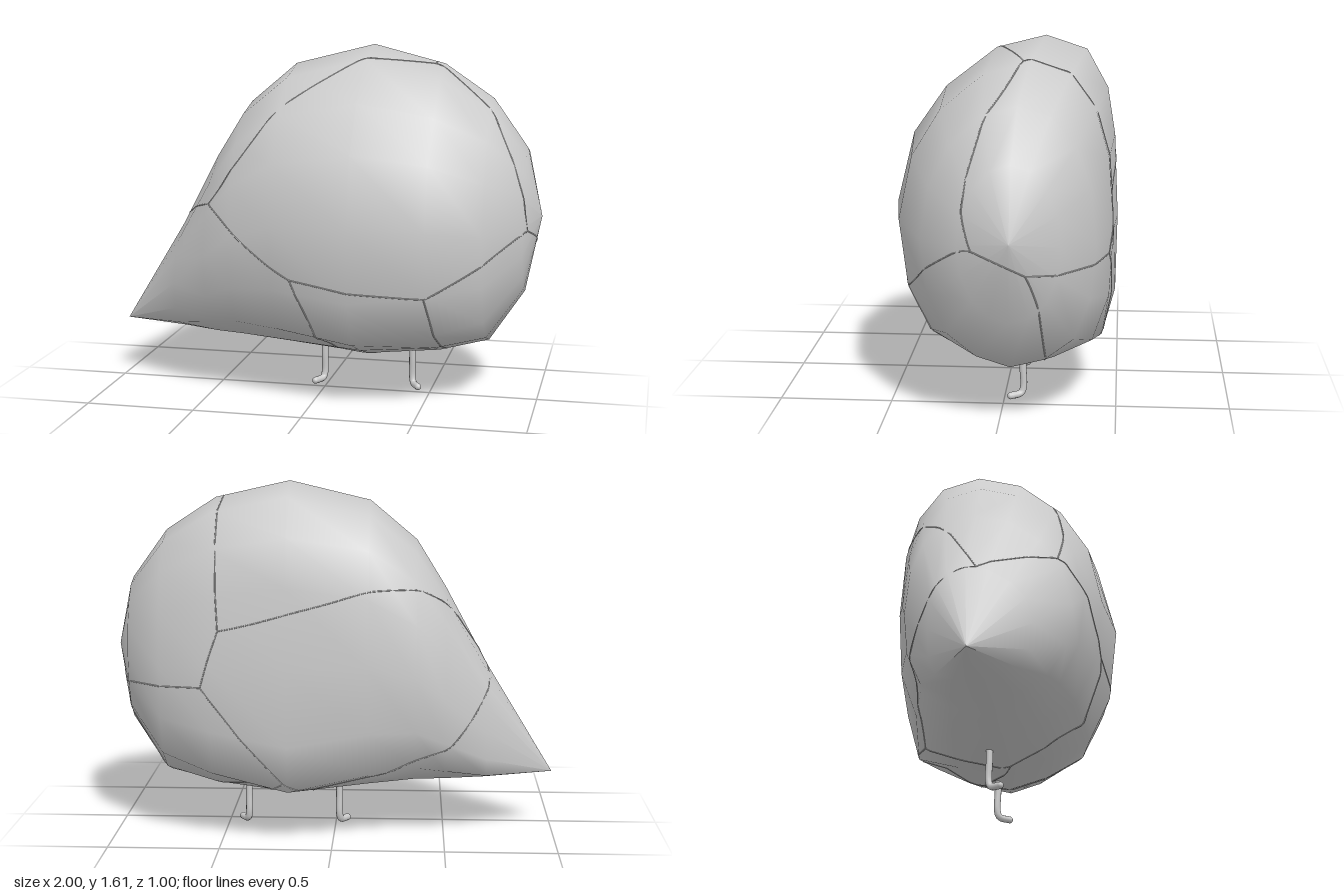
import * as THREE from 'three';

const grey = () => new THREE.MeshStandardMaterial({ color: 0xcccccc, side: THREE.DoubleSide });

// Body stations along x: [x, bottom y, top y, back z, front z, roundness of section]
const stations = [
  [-1, 0.265, 0.265, -0.08, -0.08, 0],
  [-0.69, 0.245, 0.78, -0.28, 0.165, 0.2],
  [-0.5, 0.23, 1.13, -0.41, 0.32, 0.55],
  [-0.37, 0.22, 1.34, -0.44, 0.37, 0.6],
  [-0.16, 0.2, 1.52, -0.485, 0.445, 0.4],
  [0.2, 0.165, 1.61, -0.495, 0.5, 0.05],
  [0.54, 0.2, 1.53, -0.48, 0.45, 0.4],
  [0.77, 0.26, 1.38, -0.41, 0.33, 0.7],
  [0.93, 0.5, 1.16, -0.27, 0.16, 0.9],
  [1, 0.85, 0.85, -0.06, -0.06, 1],
];

// Widest cross-section as [z, y]: top, front, bottom, back
const section = [
  [-0.18, 1.61], [0.04, 1.555], [0.27, 1.38], [0.42, 1.17], [0.5, 0.85], [0.46, 0.51],
  [0.36, 0.3], [0.16, 0.23], [-0.04, 0.165], [-0.25, 0.195], [-0.435, 0.235], [-0.49, 0.45],
  [-0.495, 0.8], [-0.48, 1.17], [-0.45, 1.38], [-0.36, 1.55],
];

// Loft the section along x, easing it towards an ellipse at both ends
function bodyGeometry() {
  const pos = [], index = [], n = section.length, last = stations.length - 1;
  stations.forEach(([x, y0, y1, z0, z1, round], i) => {
    section.forEach(([z, y], j) => {
      const t = (j / n) * Math.PI * 2;
      const u = THREE.MathUtils.lerp((z + 0.495) / 0.995, 0.5 + 0.5 * Math.sin(t), round);
      const v = THREE.MathUtils.lerp((y - 0.165) / 1.445, 0.5 + 0.5 * Math.cos(t), round);
      pos.push(x, y0 + (y1 - y0) * v, z0 + (z1 - z0) * u);
      if (i === last) return;
      const a = i * n + j, b = i * n + (j + 1) % n, c = a + n, d = b + n;
      if (i > 0) index.push(a, b, d);
      if (i < last - 1) index.push(a, d, c);
    });
  });
  const g = new THREE.BufferGeometry();
  g.setAttribute('position', new THREE.Float32BufferAttribute(pos, 3));
  g.setIndex(index);
  g.computeVertexNormals();
  return g;
}

// Panel corners on the shell and the seams that join them
const corners = {
  A: [-0.48, 0.88, 0.22], B: [-0.07, 0.6, 0.45], C: [0.53, 0.54, 0.42], D: [0.96, 0.82, 0.12],
  E: [0.97, 0.71, -0.13], F: [0.58, 0.72, -0.46], G: [0.5, 1.53, -0.09], H: [0.5, 0.98, -0.48],
  J: [0.16, 0.17, 0], K: [0.58, 0.21, -0.18], L: [-0.69, 0.78, -0.08], N: [-0.55, 1, -0.2],
  Q: [0.22, 0.28, -0.44], R: [0.08, 0.23, -0.4],
};
const seams = ['AB', 'BC', 'CD', 'DG', 'GA', 'DE', 'EF', 'FH', 'HG', 'BJ', 'CK', 'EK', 'JK', 'AL',
  'HN', 'NL', 'LR', 'RJ', 'RQ', 'QK', 'QF'];

// A seam is a straight run between corners, projected onto the shell
function seamMesh(body, from, to) {
  const a = new THREE.Vector3(...corners[from]), b = new THREE.Vector3(...corners[to]);
  const pts = [];
  for (let i = 0; i <= 16; i++) {
    const p = a.clone().lerp(b, i / 16);
    const centre = new THREE.Vector3(p.x * 0.9, 0.72, -0.05);
    const dir = p.sub(centre).normalize();
    const start = centre.addScaledVector(dir, 3);
    const hit = new THREE.Raycaster(start, dir.negate()).intersectObject(body)[0];
    if (hit) pts.push(hit.point);
  }
  return new THREE.Mesh(
    new THREE.TubeGeometry(new THREE.CatmullRomCurve3(pts), 48, 0.003, 5), grey());
}

// Thin leg with a foot turned forward and outward
function leg(x, side) {
  const g = new THREE.Group();
  const foot = new THREE.Vector3(x + side * 0.035, 0.016, -0.03);
  const path = new THREE.CatmullRomCurve3([
    new THREE.Vector3(x, 0.24, -0.08), new THREE.Vector3(x, 0.14, -0.082),
    new THREE.Vector3(x, 0.05, -0.085), new THREE.Vector3(x + side * 0.006, 0.022, -0.075), foot,
  ]);
  const shank = new THREE.Mesh(new THREE.TubeGeometry(path, 24, 0.016, 10), grey());
  shank.name = 'shank';
  const toe = new THREE.Mesh(new THREE.SphereGeometry(0.016, 10, 8), grey());
  toe.position.copy(foot);
  toe.name = 'toe';
  g.add(shank, toe);
  return g;
}

export function createModel() {
  const model = new THREE.Group();
  const body = new THREE.Mesh(bodyGeometry(), grey());
  body.name = 'body';
  model.add(body);

  const seamGroup = new THREE.Group();
  seamGroup.name = 'panelSeams';
  for (const [from, to] of seams) {
    const seam = seamMesh(body, from, to);
    seam.name = 'seam';
    seamGroup.add(seam);
  }
  model.add(seamGroup);

  const right = leg(-0.018, -1), left = leg(0.406, 1);
  right.name = 'rightLeg';
  left.name = 'leftLeg';
  model.add(right, left);
  return model;
}
